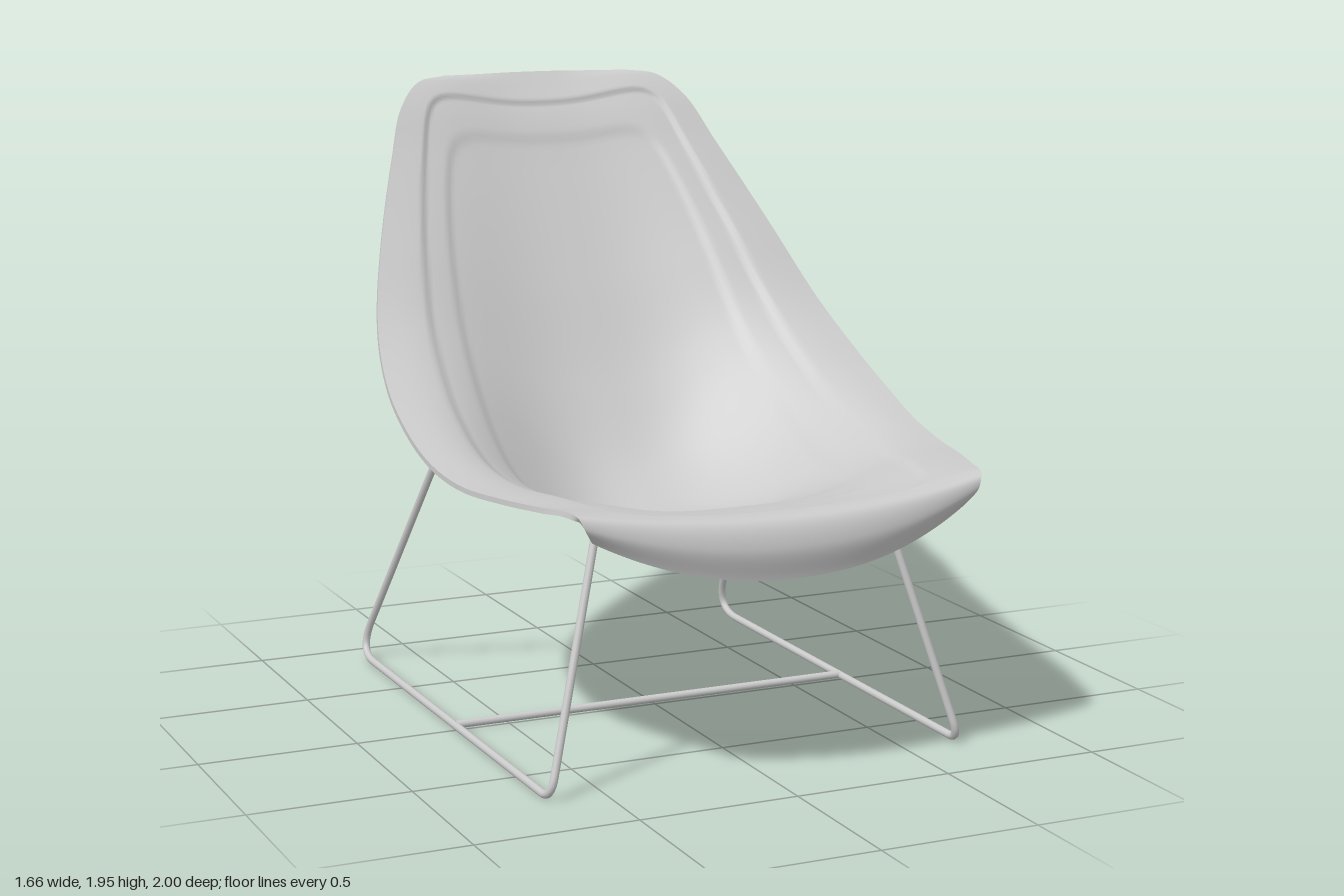
import * as THREE from 'three';

const ROWS = 180, COLS = 110, THICK = 0.016, ROD = 0.0125;
const mat = new THREE.MeshStandardMaterial({ color: 0xcccccc });
const V = (x, y, z) => new THREE.Vector3(x, y, z);
const { smoothstep, lerp } = THREE.MathUtils;

// Shell sections from lip to top: [half width, edge y, edge z, centre y, centre z]
const SECTIONS = [
  [0.60, 0.79, 0.90, 0.63, 0.98],
  [0.63, 0.835, 0.92, 0.725, 0.999],
  [0.645, 0.868, 0.91, 0.80, 0.97],
  [0.665, 0.88, 0.87, 0.815, 0.90],
  [0.70, 0.875, 0.77, 0.805, 0.78],
  [0.755, 0.87, 0.60, 0.778, 0.60],
  [0.80, 0.87, 0.40, 0.71, 0.40],
  [0.822, 0.90, 0.20, 0.65, 0.20],
  [0.828, 0.97, 0.00, 0.641, 0.00],
  [0.815, 1.07, -0.20, 0.73, -0.19],
  [0.772, 1.22, -0.40, 0.965, -0.39],
  [0.69, 1.45, -0.59, 1.285, -0.585],
  [0.58, 1.71, -0.78, 1.62, -0.78],
  [0.51, 1.86, -0.88, 1.80, -0.885],
  [0.43, 1.93, -0.942, 1.88, -0.95],
  [0.33, 1.945, -0.975, 1.932, -0.993],
];
const edge = new THREE.CatmullRomCurve3(SECTIONS.map(s => V(s[0], s[1], s[2])));
const centre = new THREE.CatmullRomCurve3(SECTIONS.map(s => V(0, s[3] + THICK, s[4])));

// One point of the upper face; e and c are the edge and centre of its section
function shellPoint(u, k, e, c) {
  const a = Math.abs(u);
  const power = lerp(3.2, 2.5, smoothstep(k, 7, 9.3));
  const bowl = 1 - (1 - a ** power) ** 4;
  const f = lerp(a ** 2.2, bowl, smoothstep(k, 2.5, 5));
  // inset measure: 1 at the outer step, 1.6 at the inner step
  const side = Math.max((1 - a) / lerp(0.24, 0.18, smoothstep(k, 9, 13)), 0.01);
  const front = Math.max(1 + (k - 3.1) * 0.5, 0.01);
  const back = Math.max(1 + (13.4 - k) * 0.7, 0.01);
  const q = (side ** -4 + front ** -4 + back ** -4) ** -0.25;
  const drop = 0.011 * smoothstep(q, 0.94, 1.06) + 0.008 * smoothstep(q, 1.53, 1.67);
  const tilt = 1.05 * smoothstep(k, 7, 11);
  return V(e.x * u,
    lerp(c.y, e.y, f) - drop * Math.cos(tilt),
    lerp(c.z, e.z, a * a) - drop * Math.sin(tilt));
}

function makeGeometry(positions, index) {
  const g = new THREE.BufferGeometry();
  g.setAttribute('position', new THREE.Float32BufferAttribute(positions, 3));
  g.setIndex(index);
  g.computeVertexNormals();
  return g;
}

function buildShell() {
  const shell = new THREE.Group();
  shell.name = 'seatShell';
  const top = [], faces = [], under = [];
  const id = (i, j) => i * (COLS + 1) + j;
  for (let i = 0; i <= ROWS; i++) {
    const v = i / ROWS, e = edge.getPoint(v), c = centre.getPoint(v);
    for (let j = 0; j <= COLS; j++) {
      top.push(...shellPoint(2 * j / COLS - 1, v * (SECTIONS.length - 1), e, c).toArray());
    }
  }
  for (let i = 0; i < ROWS; i++) for (let j = 0; j < COLS; j++) {
    const a = id(i, j), b = id(i, j + 1), c = id(i + 1, j + 1), d = id(i + 1, j);
    faces.push(a, b, d, b, c, d);
    under.push(a, d, b, b, d, c);
  }
  const upper = makeGeometry(top, faces);
  const n = upper.attributes.normal.array;
  const bottom = top.map((p, i) => p - n[i] * THICK);

  // Rim strip closing the two faces, walked once round the outline
  const loop = [], rim = [], rimFaces = [];
  for (let j = 0; j < COLS; j++) loop.push(id(0, j));
  for (let i = 0; i < ROWS; i++) loop.push(id(i, COLS));
  for (let j = COLS; j > 0; j--) loop.push(id(ROWS, j));
  for (let i = ROWS; i > 0; i--) loop.push(id(i, 0));
  loop.forEach((p, i) => {
    rim.push(...top.slice(3 * p, 3 * p + 3), ...bottom.slice(3 * p, 3 * p + 3));
    const a = 2 * i, b = 2 * ((i + 1) % loop.length);
    rimFaces.push(a, a + 1, b, b, a + 1, b + 1);
  });

  const parts = {
    shellUpperFace: upper,
    shellUnderside: makeGeometry(bottom, under),
    shellRim: makeGeometry(rim, rimFaces),
  };
  for (const [name, g] of Object.entries(parts)) {
    const m = new THREE.Mesh(g, mat);
    m.name = name;
    shell.add(m);
  }
  return shell;
}

// Path through points with rounded corners; radii[i] is the trim at inner point i
function roundedPath(pts, radii) {
  const path = new THREE.CurvePath();
  let from = pts[0];
  for (let i = 1; i < pts.length - 1; i++) {
    const p = pts[i], r = radii[i - 1];
    const enter = p.clone().add(pts[i - 1].clone().sub(p).setLength(r));
    const leave = p.clone().add(pts[i + 1].clone().sub(p).setLength(r));
    path.add(new THREE.LineCurve3(from, enter));
    path.add(new THREE.QuadraticBezierCurve3(enter, p, leave));
    from = leave;
  }
  path.add(new THREE.LineCurve3(from, pts[pts.length - 1]));
  return path;
}

// Straight round bar between two points
function bar(a, b, r, name) {
  const dir = b.clone().sub(a);
  const m = new THREE.Mesh(new THREE.CylinderGeometry(r, r, dir.length(), 14), mat);
  m.position.copy(a).add(b).multiplyScalar(0.5);
  m.quaternion.setFromUnitVectors(V(0, 1, 0), dir.normalize());
  m.name = name;
  return m;
}

// Bent rod on one side: front leg, floor runner and back leg, with clips
function sideFrame(s) {
  const g = new THREE.Group();
  g.name = s > 0 ? 'leftFrame' : 'rightFrame';
  const frontTop = V(s * 0.46, 0.787, 0.615), backTop = V(s * 0.525, 1.025, -0.285);
  const path = roundedPath([
    frontTop, V(s * 0.675, 0.013, 0.765), V(s * 0.675, 0.013, -0.94), backTop,
  ], [0.065, 0.15]);
  const rod = new THREE.Mesh(new THREE.TubeGeometry(path, 260, ROD, 10), mat);
  rod.name = 'legRod';
  g.add(rod);
  g.add(bar(V(s * 0.455, 0.783, 0.615), V(s * 0.54, 0.806, 0.615), 0.013, 'frontClip'));
  g.add(bar(V(s * 0.52, 1.018, -0.285), V(s * 0.61, 1.056, -0.285), 0.017, 'backClip'));
  return g;
}

export function createModel() {
  const model = new THREE.Group();
  model.name = 'loungeChair';
  model.add(buildShell(), sideFrame(1), sideFrame(-1));
  model.add(bar(V(-0.675, 0.016, -0.01), V(0.675, 0.016, -0.01), ROD, 'crossBar'));
  return model;
}
